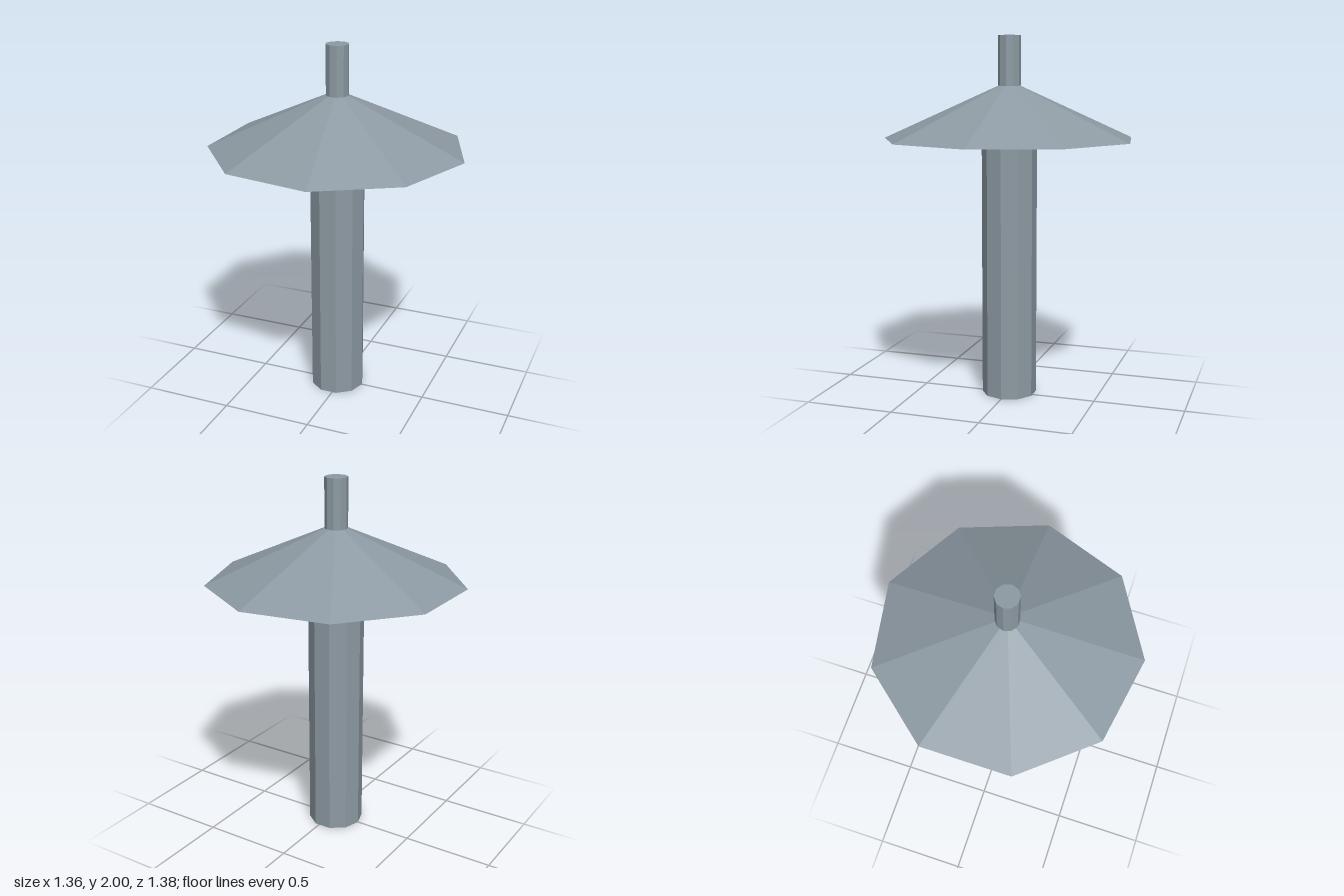
import * as THREE from 'three';

export function createModel() {
  const model = new THREE.Group();
  model.name = 'canopyPost';
  const steel = new THREE.MeshStandardMaterial({ color: 0x8d9aa3, flatShading: true });
  steel.name = 'blue grey steel';

  // Upright faceted section with one corner pointing to +x
  function section(name, topRadius, bottomRadius, y0, y1, sides) {
    const geometry = new THREE.CylinderGeometry(topRadius, bottomRadius, y1 - y0, sides, 1, false, Math.PI / 2);
    const mesh = new THREE.Mesh(geometry, steel);
    mesh.name = name;
    mesh.position.set(-0.023, (y0 + y1) / 2, 0);
    model.add(mesh);
  }

  section('post', 0.152, 0.152, 0, 1.44, 10);
  section('canopy', 0.061, 0.703, 1.44, 1.73, 9);
  section('topPipe', 0.0625, 0.0625, 1.73, 2, 10);

  return model;
}
